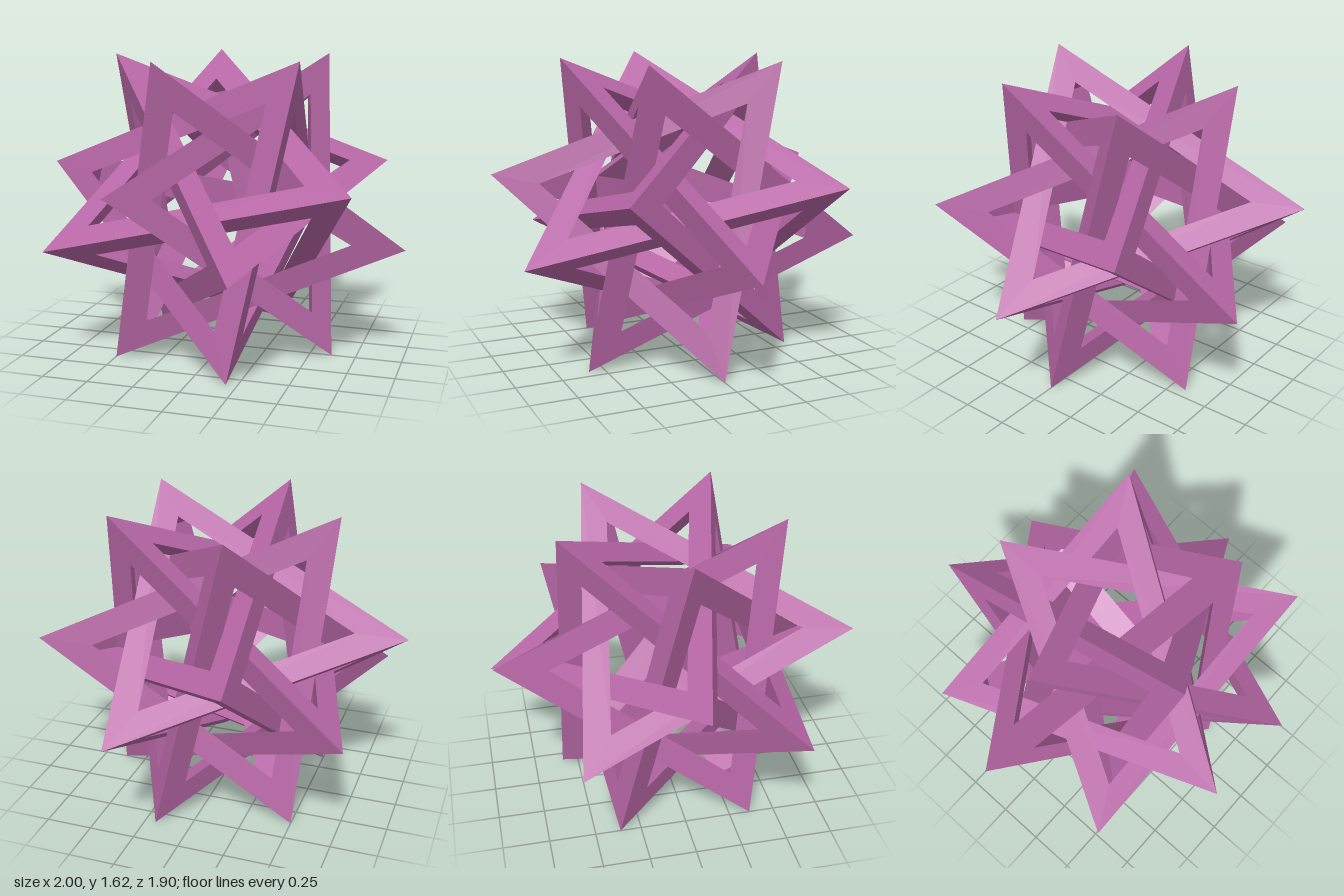
import * as THREE from 'three';

const PHI = (1 + Math.sqrt(5)) / 2;
const HALF = PHI / 2;      // half of the total height
const HOLE = 0.712;        // size of each triangular hole relative to its face

// Point on a horizontal ring, angle in degrees measured from +x towards +z
function ringPoint(radius, y, degrees) {
  const a = THREE.MathUtils.degToRad(degrees);
  return new THREE.Vector3(radius * Math.cos(a), y, radius * Math.sin(a));
}

// Open tetrahedron made of six triangular bars, centred on the origin
function frameGeometry(corners) {
  const positions = [];

  // Adds a convex polygon facing away from the centre (or towards it)
  function polygon(points, outward) {
    const normal = points[1].clone().sub(points[0]).cross(points[2].clone().sub(points[0]));
    const p = normal.dot(points[0]) > 0 === outward ? points : [...points].reverse();
    for (let i = 1; i < p.length - 1; i++) {
      for (const v of [p[0], p[i], p[i + 1]]) positions.push(v.x, v.y, v.z);
    }
  }

  // tips[f][i]: corner of the hole in the face opposite corner f, nearest corner i
  const tips = corners.map((_, f) => {
    const centre = new THREE.Vector3();
    corners.forEach((v, i) => { if (i !== f) centre.addScaledVector(v, 1 / 3); });
    return corners.map((v) => centre.clone().lerp(v, HOLE));
  });

  for (let i = 0; i < 4; i++) {
    const others = [0, 1, 2, 3].filter((n) => n !== i);
    // Small triangle on the inside of the corner
    polygon(others.map((f) => tips[f][i]), false);
    for (let j = i + 1; j < 4; j++) {
      const [f, g] = others.filter((n) => n !== j);
      // Two outer strips and the inner wall of each bar
      polygon([corners[i], corners[j], tips[f][j], tips[f][i]], true);
      polygon([corners[i], corners[j], tips[g][j], tips[g][i]], true);
      polygon([tips[f][i], tips[f][j], tips[g][j], tips[g][i]], false);
    }
  }

  const geometry = new THREE.BufferGeometry();
  geometry.setAttribute('position', new THREE.Float32BufferAttribute(positions, 3));
  geometry.computeVertexNormals();
  return geometry;
}

export function createModel() {
  const group = new THREE.Group();
  group.name = 'interlockedTetrahedra';
  const orchid = new THREE.MeshStandardMaterial({ color: 0xb666a5 });
  orchid.name = 'orchid';

  // Five interlocked frames, each with one corner on each of four rings
  for (let k = 0; k < 5; k++) {
    const a = 180 + 72 * k;
    const frame = new THREE.Mesh(frameGeometry([
      ringPoint(1 / PHI, HALF, a),
      ringPoint(1, HALF - 1 / PHI, a + 144),
      ringPoint(1, 1 / PHI - HALF, a - 108),
      ringPoint(1 / PHI, -HALF, a + 36),
    ]), orchid);
    frame.name = `tetrahedronFrame${k + 1}`;
    frame.position.y = HALF;
    group.add(frame);
  }
  return group;
}
